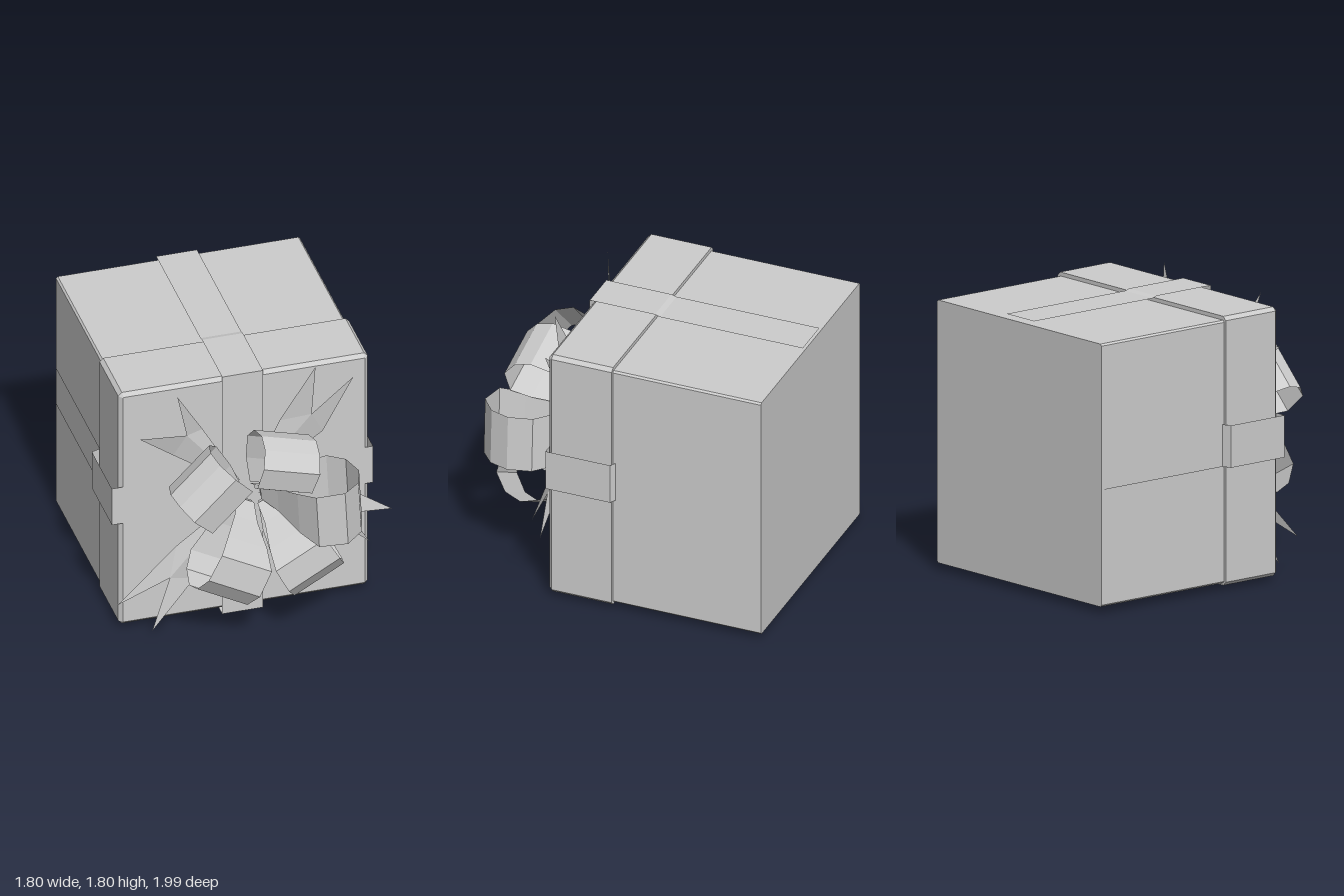
import * as THREE from 'three';
import { ConvexGeometry } from 'three/addons/geometries/ConvexGeometry.js';

export function createModel() {
  const root = new THREE.Group();
  const paper = new THREE.MeshStandardMaterial({ color: 0xcccccc, side: THREE.DoubleSide, flatShading: true });
  paper.name = 'plain grey';
  const V = (x, y, z) => new THREE.Vector3(x, y, z);

  const add = (name, geometry, parent = root) => {
    const mesh = new THREE.Mesh(geometry, paper);
    mesh.name = name;
    parent.add(mesh);
  };

  // Flat-shaded surface from a list of triangles
  const faces = (tris) => {
    const g = new THREE.BufferGeometry().setFromPoints(tris.flat());
    g.computeVertexNormals();
    return g;
  };

  // Sheet between two rails of points
  const sheet = (a, b) => {
    const tris = [];
    for (let i = 0; i < a.length - 1; i++) {
      tris.push([a[i], b[i], b[i + 1]], [a[i], b[i + 1], a[i + 1]]);
    }
    return faces(tris);
  };

  // Rectangle with cut corners at depth z
  const octagon = (x0, x1, y0, y1, c, z) => [
    V(x0 + c, y0, z), V(x1 - c, y0, z), V(x1, y0 + c, z), V(x1, y1 - c, z),
    V(x1 - c, y1, z), V(x0 + c, y1, z), V(x0, y1 - c, z), V(x0, y0 + c, z),
  ];

  // Box body, lying with its lid to the front
  add('boxBody', new ConvexGeometry([
    ...octagon(-0.84, 0.745, 0.045, 1.725, 0.012, -1),
    ...octagon(-0.84, 0.745, 0.045, 1.725, 0.012, 0),
  ]));
  add('boxLid', new ConvexGeometry([
    ...octagon(-0.855, 0.765, 0.03, 1.75, 0.024, 0),
    ...octagon(-0.855, 0.765, 0.03, 1.75, 0.024, 0.406),
    ...octagon(-0.831, 0.741, 0.054, 1.726, 0.004, 0.43),
  ]));

  // Ribbons wrapped over the lid and down the body
  const upright = [[1.755, -1], [1.755, -0.035], [1.765, 0], [1.765, 0.44],
    [0, 0.44], [0, 0], [0.038, -0.03], [0.038, -0.98]];
  add('uprightRibbon', sheet(
    upright.map(([y, z]) => V(-0.19, y, z)), upright.map(([y, z]) => V(0.075, y, z))));
  const level = [[-0.847, -0.98], [-0.847, -0.02], [-0.905, 0], [-0.905, 0.437],
    [0.79, 0.437], [0.79, 0], [0.752, -0.02], [0.752, -0.98]];
  add('levelRibbon', sheet(
    level.map(([x, z]) => V(x, 0.795, z)), level.map(([x, z]) => V(x, 1.065, z))));

  const bow = new THREE.Group();
  bow.name = 'bow';
  root.add(bow);

  // Bow loops: profile of reach (share of length), height and band width
  const profile = [[0.05, 0.48, 0.1], [0.4, 0.49, 0.26], [0.76, 0.53, 0.37], [0.93, 0.6, 0.37],
    [1, 0.73, 0.37], [0.93, 0.84, 0.37], [0.74, 0.92, 0.38], [0.44, 0.9, 0.37],
    [0.3, 0.78, 0.29], [0.17, 0.62, 0.17], [0.05, 0.5, 0.12]];
  // outer edge middle x, y, direction in degrees, length, height scale
  const loops = [
    [-0.48, 1.28, 135, 0.56, 1],
    [0.157, 1.425, 74, 0.5, 1],
    [0.61, 0.945, 3, 0.6, 1.16],
    [0.34, 0.38, -60.6, 0.57, 1],
    [-0.328, 0.365, -118.8, 0.6, 1],
  ];
  loops.forEach(([mx, my, deg, len, rise]) => {
    const a = THREE.MathUtils.degToRad(deg), c = Math.cos(a), s = Math.sin(a);
    const rail = (side) => profile.map(([r, z, w]) => {
      const d = (r - 1) * len, h = side * w / 2;
      return V(mx + c * d - s * h, my + s * d + c * h, 0.48 + (z - 0.48) * rise);
    });
    add('bowLoop', sheet(rail(1), rail(-1)), bow);
  });

  // Forked ribbon tails: shoulder, tip, notch, tip, shoulder
  const tails = [
    [[-0.33, 1.43, 0.48], [-0.52, 1.76, 0.57], [-0.44, 1.42, 0.51], [-0.75, 1.46, 0.53], [-0.52, 1.27, 0.48]],
    [[0.45, 1.27, 0.48], [0.645, 1.65, 0.5], [0.37, 1.43, 0.51], [0.385, 1.8, 0.545], [0.17, 1.4, 0.48]],
    [[0.45, 0.65, 0.47], [0.75, 0.4, 0.49], [0.61, 0.64, 0.5], [0.9, 0.61, 0.485], [0.62, 0.8, 0.47]],
    [[-0.5, 0.59, 0.48], [-0.9, 0.27, 0.55], [-0.55, 0.38, 0.51], [-0.685, 0.055, 0.58], [-0.38, 0.33, 0.48]],
  ];
  const hub = V(-0.04, 0.92, 0.465);
  tails.forEach((points) => {
    const [s1, t1, notch, t2, s2] = points.map((p) => V(...p));
    const b1 = hub.clone().lerp(s1, 0.15), b2 = hub.clone().lerp(s2, 0.15);
    const fold = hub.clone().lerp(notch, 0.2);
    add('bowTail', faces([
      [b1, s1, notch], [b1, notch, fold], [fold, notch, s2], [fold, s2, b2],
      [s1, t1, notch], [notch, t2, s2],
    ]), bow);
  });

  return root;
}
